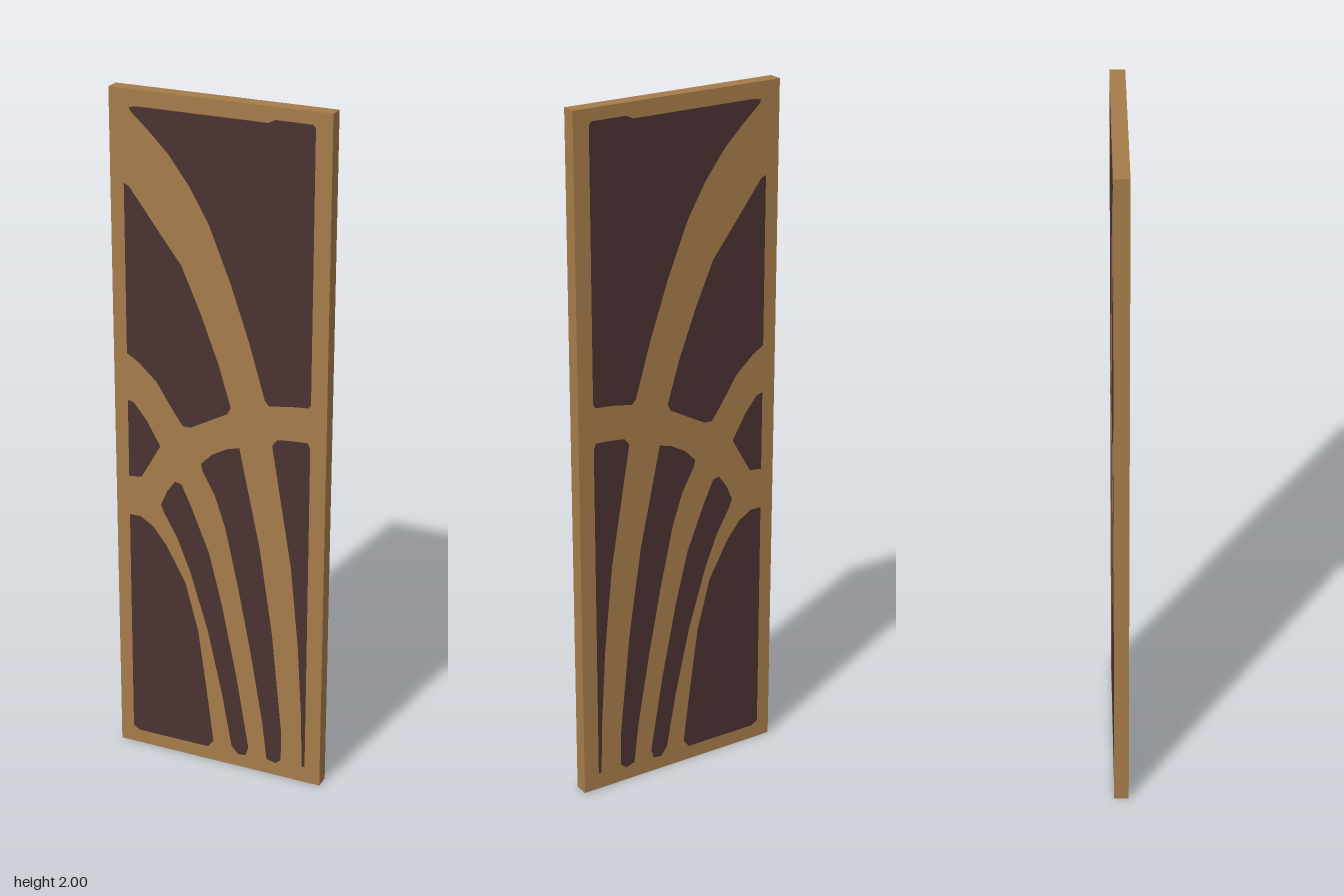
import * as THREE from 'three';

const HALF_W = 0.319, HEIGHT = 2, DEPTH = 0.042;

// Outlines of the inlays, as x, y pairs
const INLAYS = {
  upperRightInlay: [[-.26, 1.95], [-.24, 1.955], [.14, 1.955], [.16, 1.965], [.265, 1.965], [.272, 1.955],
    [.272, 1.19], [.265, 1.18], [.21, 1.175], [.15, 1.165], [.137, 1.18], [.09, 1.34], [.035, 1.5],
    [-.03, 1.66], [-.085, 1.755], [-.145, 1.835], [-.2, 1.89], [-.255, 1.94]],
  upperLeftInlay: [[-.279, 1.74], [-.265, 1.735], [-.19, 1.635], [-.11, 1.53], [-.055, 1.405], [0, 1.26],
    [.036, 1.14], [.025, 1.12], [-.03, 1.09], [-.085, 1.06], [-.11, 1.06], [-.145, 1.11], [-.19, 1.18],
    [-.245, 1.23], [-.279, 1.25]],
  smallSideInlay: [[-.279, 1.11], [-.26, 1.105], [-.22, 1.055], [-.18, .985], [-.197, .955], [-.24, .88], [-.279, .875]],
  innerCurvedInlay: [[-.18, .805], [-.16, .85], [-.135, .885], [-.115, .88], [-.085, .815], [-.03, .68],
    [.01, .52], [.055, .3], [.094, .07], [.085, .042], [.06, .04], [.04, .065], [.01, .23], [-.035, .43],
    [-.09, .61], [-.13, .71], [-.17, .78]],
  middleCurvedInlay: [[-.055, .955], [-.02, .99], [.025, 1.015], [.062, 1.025], [.08, .94], [.125, .73],
    [.165, .465], [.197, .15], [.197, .055], [.18, .04], [.152, .048], [.137, .17], [.1, .385], [.06, .59],
    [.02, .77], [-.012, .865], [-.05, .935]],
  outerCurvedInlay: [[.16, 1.05], [.175, 1.07], [.22, 1.075], [.265, 1.077], [.272, 1.06], [.272, .05],
    [.263, .05], [.258, .22], [.245, .44], [.22, .69], [.19, .87]],
  lowerLeftInlay: [[-.279, .755], [-.245, .755], [-.205, .73], [-.165, .68], [-.105, .57], [-.065, .42],
    [-.035, .2], [-.018, .065], [-.035, .042], [-.26, .042], [-.279, .055]],
};

const toPoints = (pairs) => pairs.map(([x, y]) => new THREE.Vector2(x, y));

// Flat slab centred on z = 0
function slab(shape, material, name) {
  const geometry = new THREE.ExtrudeGeometry(shape, { depth: DEPTH, bevelEnabled: false });
  geometry.translate(0, 0, -DEPTH / 2);
  const mesh = new THREE.Mesh(geometry, material);
  mesh.name = name;
  return mesh;
}

export function createModel() {
  const group = new THREE.Group();
  group.name = 'decorativePanel';
  const wood = new THREE.MeshStandardMaterial({ color: 0xa67c4a });
  wood.name = 'lightWood';
  const dark = new THREE.MeshStandardMaterial({ color: 0x4b3232 });
  dark.name = 'darkWood';

  // Frame and branching ribs: one board with an opening for each inlay
  const board = new THREE.Shape(toPoints([[-HALF_W, 0], [HALF_W, 0], [HALF_W, HEIGHT], [-HALF_W, HEIGHT]]));
  for (const outline of Object.values(INLAYS)) board.holes.push(new THREE.Path(toPoints(outline)));
  group.add(slab(board, wood, 'frameAndRibs'));

  // Dark inlays, flush with the board on both sides
  for (const [name, outline] of Object.entries(INLAYS)) {
    group.add(slab(new THREE.Shape(toPoints(outline)), dark, name));
  }
  return group;
}
